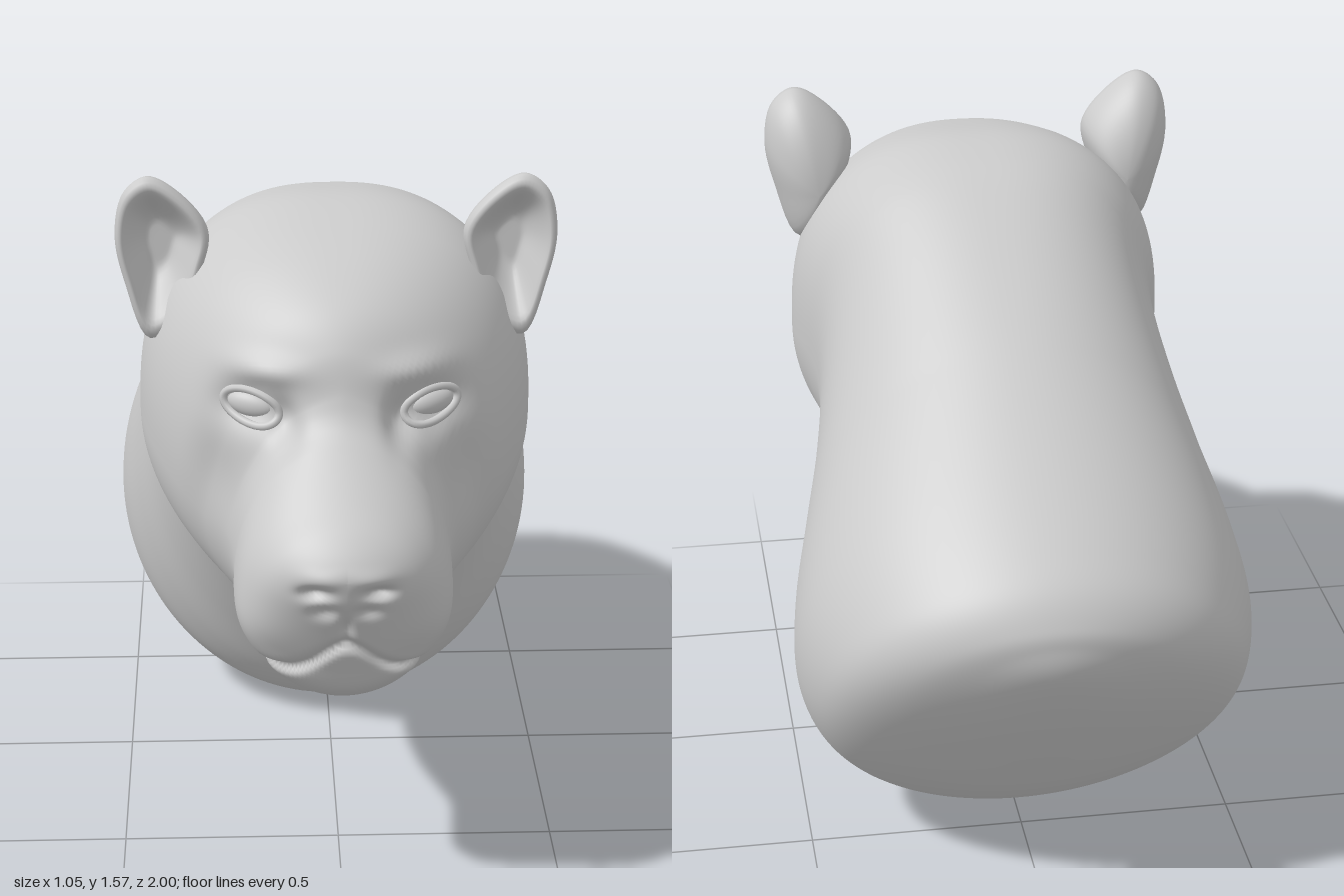
import * as THREE from 'three';

const material = new THREE.MeshStandardMaterial({ color: 0xcccccc, roughness: 0.8 });

// Sections from nose to back: top z, top y, bottom z, bottom y, half width
const SECTIONS = [
  [1.0, 0.87, 1.0, 0.87, 0],
  [0.985, 0.91, 0.985, 0.81, 0.08],
  [0.945, 0.955, 0.945, 0.73, 0.15],
  [0.885, 1.0, 0.9, 0.63, 0.2],
  [0.83, 1.045, 0.86, 0.555, 0.225],
  [0.78, 1.09, 0.78, 0.508, 0.235],
  [0.74, 1.13, 0.68, 0.508, 0.237],
  [0.715, 1.18, 0.59, 0.535, 0.252],
  [0.685, 1.27, 0.52, 0.555, 0.3],
  [0.62, 1.35, 0.45, 0.57, 0.36],
  [0.5, 1.42, 0.37, 0.578, 0.41],
  [0.36, 1.46, 0.29, 0.58, 0.44],
  [0.22, 1.485, 0.23, 0.57, 0.448],
  [0.1, 1.477, 0.18, 0.545, 0.43],
  [0, 1.455, 0.12, 0.48, 0.408],
  [-0.12, 1.4, 0.04, 0.36, 0.412],
  [-0.28, 1.31, -0.05, 0.22, 0.44],
  [-0.44, 1.215, -0.13, 0.1, 0.48],
  [-0.6, 1.115, -0.22, 0.025, 0.515],
  [-0.75, 1.02, -0.32, 0.002, 0.525],
  [-0.87, 0.94, -0.45, 0.04, 0.495],
  [-0.945, 0.88, -0.6, 0.16, 0.435],
  [-0.985, 0.82, -0.75, 0.335, 0.33],
  [-0.997, 0.77, -0.89, 0.52, 0.18],
  [-0.985, 0.68, -0.985, 0.68, 0],
];
const LAST = SECTIONS.length - 1;

// [section index, value] keys: height of the widest point, squareness of the upper half
const WIDEST = [[0, 0.5], [6, 0.48], [8, 0.42], [12, 0.47], [15, 0.5], [LAST, 0.5]];
const SQUARE = [[0, 2], [5, 2], [7, 1.75], [9, 2.1], [11, 2.5], [14, 2.5], [17, 2.1], [LAST, 2]];

// Sculpting strokes on the face, mirrored in x: centre, radii, movement
const STROKES = [
  [[0.2, 1.135, 0.66], [0.075, 0.05, 0.15], [0, 0, -0.035]],        // eye socket
  [[0.125, 1.11, 0.69], [0.03, 0.05, 0.1], [-0.01, 0, -0.025]],     // inner eye corner
  [[0.17, 1.225, 0.66], [0.08, 0.03, 0.12], [0, 0, 0.022]],         // brow
  [[0.26, 0.97, 0.58], [0.05, 0.1, 0.08], [-0.015, 0, -0.02]],      // hollow beside the muzzle
  [[0.16, 0.72, 0.83], [0.09, 0.07, 0.12], [0.012, 0, 0.01]],       // whisker pad
  [[0.065, 0.838, 0.97], [0.032, 0.016, 0.07], [0, 0, -0.03]],      // nostril
  [[0.045, 0.79, 0.97], [0.03, 0.018, 0.07], [0, 0, -0.016]],       // underside of nose
  [[0.05, 0.875, 0.98], [0.05, 0.018, 0.06], [0, 0, 0.006]],        // nose edge
];

function keyed(keys, t) {
  let k = 0;
  while (k < keys.length - 2 && t > keys[k + 1][0]) k++;
  const [a, b] = [keys[k], keys[k + 1]];
  return THREE.MathUtils.mapLinear(t, a[0], b[0], a[1], b[1]);
}

// Sections past either end are mirrored so the ends close smoothly
function section(i) {
  if (i >= 0 && i <= LAST) return SECTIONS[i];
  const [tz, ty, bz, by, w] = SECTIONS[i < 0 ? -i : 2 * LAST - i];
  return [bz, by, tz, ty, -w];
}

function sectionAt(t) {
  const i = Math.min(Math.floor(t), LAST - 1), u = t - i;
  const [a, b, c, d] = [section(i - 1), section(i), section(i + 1), section(i + 2)];
  return b.map((p, k) => p + 0.5 * u * (c[k] - a[k]
    + u * (2 * a[k] - 5 * p + 4 * c[k] - d[k] + u * (3 * (p - c[k]) + d[k] - a[k]))));
}

function sculpt(p) {
  const side = Math.sign(p.x), x = Math.abs(p.x), { y, z } = p;
  for (const [c, r, d] of STROKES) {
    const g = Math.exp(-(((x - c[0]) / r[0]) ** 2) - ((y - c[1]) / r[1]) ** 2 - ((z - c[2]) / r[2]) ** 2);
    p.x += side * d[0] * g;
    p.y += d[1] * g;
    p.z += d[2] * g;
  }
  // Mouth line, arched at the middle, and the groove up to the nose
  const lipY = 0.615 + 0.08 * Math.exp(-((x / 0.075) ** 2));
  const fade = THREE.MathUtils.smoothstep(z, 0.58, 0.68);
  const mouth = fade * Math.exp(-(((y - lipY) / 0.014) ** 2));
  p.x *= 1 - 0.1 * mouth;
  p.z -= 0.025 * mouth * THREE.MathUtils.smoothstep(z, 0.7, 0.85);
  if (z > 0.85) p.z -= 0.016 * Math.exp(-((x / 0.014) ** 2) - ((y - 0.74) / 0.035) ** 2);
  return p;
}

// Closed rings from a front pole to a back pole; columns run clockwise seen from the front
function loft(rows, cols, point) {
  const positions = [], index = [];
  for (let i = 0; i <= rows; i++)
    for (let j = 0; j < cols; j++) positions.push(...point(i / rows, j / cols).toArray());
  for (let i = 0; i < rows; i++)
    for (let j = 0; j < cols; j++) {
      const k = (j + 1) % cols;
      const a = i * cols + j, b = i * cols + k, c = a + cols, d = b + cols;
      if (i > 0) index.push(a, b, c);
      if (i < rows - 1) index.push(b, d, c);
    }
  const geometry = new THREE.BufferGeometry();
  geometry.setAttribute('position', new THREE.Float32BufferAttribute(positions, 3));
  geometry.setIndex(index);
  geometry.computeVertexNormals();
  return geometry;
}

function bodyPoint(u, v) {
  const t = u * LAST, [tz, ty, bz, by, w] = sectionAt(t);
  const f = keyed(WIDEST, t), c = Math.cos(v * 2 * Math.PI), s = Math.sin(v * 2 * Math.PI);
  const e = c > 0 ? 2 / keyed(SQUARE, t) : 1;
  const h = f + (c > 0 ? 1 - f : f) * Math.sign(c) * Math.abs(c) ** e;
  const x = w * Math.sign(s) * Math.abs(s) ** e;
  return sculpt(new THREE.Vector3(x, by + (ty - by) * h, bz + (tz - bz) * h));
}

// Ear: a dished front that rolls over the rim into a domed back
const earRim = new THREE.CatmullRomCurve3([
  [0.42, 1.572], [0.472, 1.535], [0.492, 1.44], [0.472, 1.33], [0.42, 1.2],
  [0.345, 1.25], [0.3, 1.36], [0.285, 1.45], [0.355, 1.54],
].map(([x, y]) => new THREE.Vector3(x, y, 0.365)), true);

function earGeometry(side) {
  return loft(36, 56, (u, v) => {
    const rim = earRim.getPoint(side > 0 ? v : (1 - v) % 1);
    const front = u < 0.5;
    const s = front ? u * 2 : Math.sin((1 - u) * Math.PI);
    const p = new THREE.Vector3(front ? 0.395 : 0.375, front ? 1.4 : 1.34, 0.365).lerp(rim, s);
    if (front) p.z += 0.015 * Math.sin(Math.PI * s ** 4) - 0.085 * (1 - THREE.MathUtils.smoothstep(s, 0.25, 0.92));
    else p.z -= 0.14 * Math.cos((1 - u) * Math.PI);
    p.x *= side;
    return p;
  });
}

// Smoothed depth of the face at a given x, y
function faceDepth(geometry, x, y) {
  const pos = geometry.attributes.position;
  let sum = 0, weight = 1e-9;
  for (let i = 0; i < pos.count; i++) {
    if (pos.getZ(i) < 0.4) continue;
    const d = (pos.getX(i) - x) ** 2 + (pos.getY(i) - y) ** 2;
    const g = Math.exp(-d / 0.00015);
    sum += g * pos.getZ(i);
    weight += g;
  }
  return sum / weight;
}

export function createModel() {
  const model = new THREE.Group();
  model.name = 'bigCatBust';
  const add = (name, geometry) => {
    const mesh = new THREE.Mesh(geometry, material);
    mesh.name = name;
    model.add(mesh);
    return mesh;
  };

  const body = loft(240, 144, bodyPoint);
  add('headAndNeck', body);

  for (const [label, side] of [['left', 1], ['right', -1]]) {
    add(label + 'Ear', earGeometry(side));

    // Eyeball
    const eye = add(label + 'Eye', new THREE.SphereGeometry(1, 32, 20));
    eye.scale.set(0.056, 0.03, 0.026);
    eye.rotation.set(0, side * 0.45, side * 0.12);
    eye.position.set(side * 0.195, 1.135, faceDepth(body, 0.195, 1.135) - 0.01);

    // Almond eyelid rim lying on the face
    const lid = [];
    for (let k = 0; k < 20; k++) {
      const a = (k / 20) * 2 * Math.PI;
      const dx = 0.06 * Math.cos(a);
      const x = 0.195 + dx, y = 1.135 + 0.037 * Math.sin(a) + 0.15 * dx;
      lid.push(new THREE.Vector3(side * x, y, faceDepth(body, x, y) + 0.002));
    }
    add(label + 'Eyelids', new THREE.TubeGeometry(new THREE.CatmullRomCurve3(lid, true), 64, 0.009, 8, true));
  }
  return model;
}
